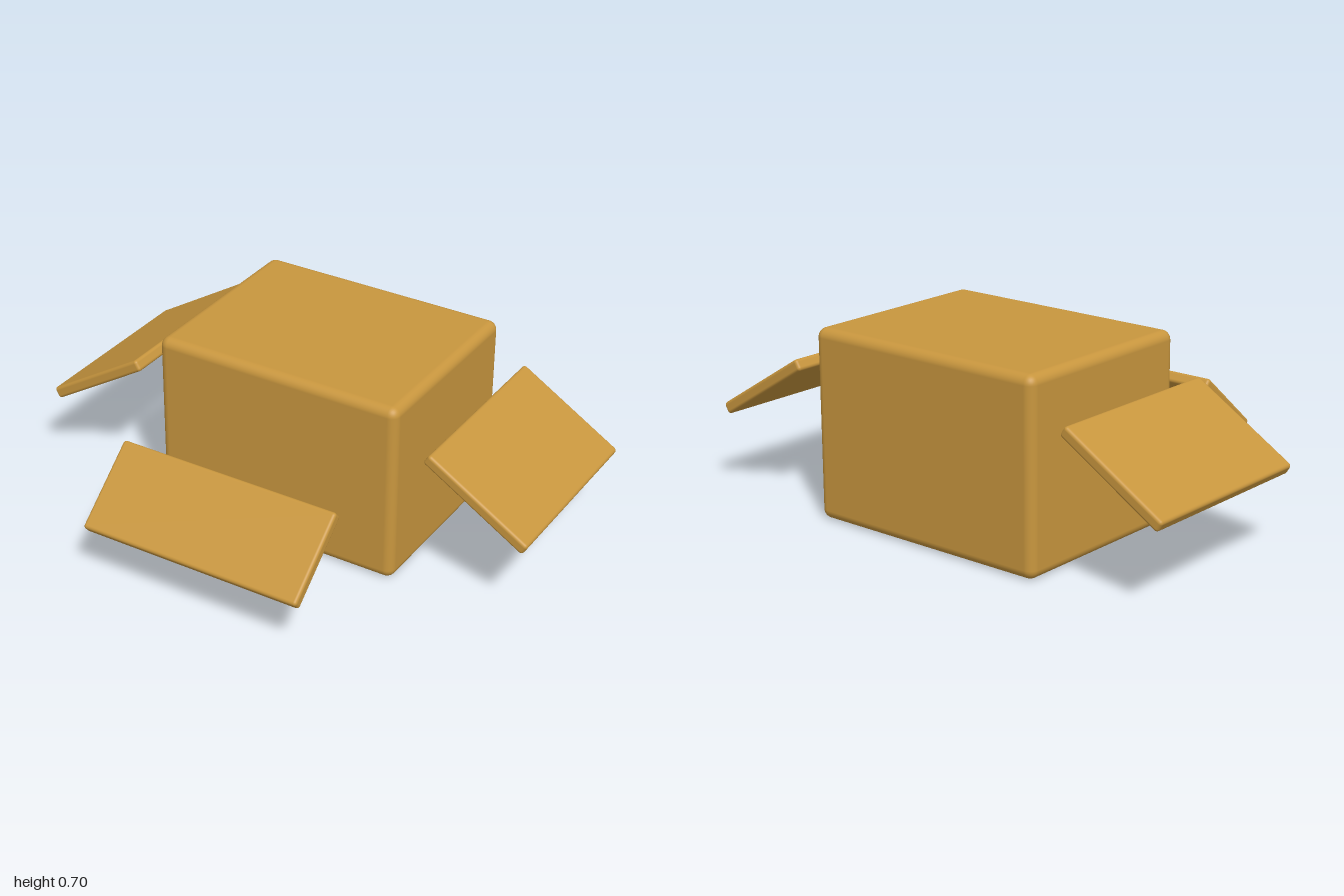
import * as THREE from 'three';
import { RoundedBoxGeometry } from 'three/addons/geometries/RoundedBoxGeometry.js';

export function createModel() {
  const group = new THREE.Group();
  const material = new THREE.MeshStandardMaterial({ color: 0xc8963e });

  // Rounded slab: size, edge radius and centre
  function slab(name, [w, h, d], radius, [x, y, z]) {
    const mesh = new THREE.Mesh(new RoundedBoxGeometry(w, h, d, 4, radius), material);
    mesh.name = name;
    mesh.position.set(x, y, z);
    group.add(mesh);
    return mesh;
  }

  // Closed box body
  slab('body', [0.985, 0.705, 0.775], 0.035, [0, 0.3525, -0.28]);

  // Side flaps, sloping down and outwards
  for (const side of [1, -1]) {
    const flap = slab(side > 0 ? 'leftFlap' : 'rightFlap', [0.459, 0.045, 0.74], 0.012, [side * 0.7975, 0.425, -0.28]);
    flap.rotation.z = -side * 0.55;
  }

  // Front flap, sloping down and forwards
  const frontFlap = slab('frontFlap', [0.88, 0.045, 0.347], 0.012, [0, 0.322, 0.525]);
  frontFlap.rotation.x = 0.7;

  return group;
}
